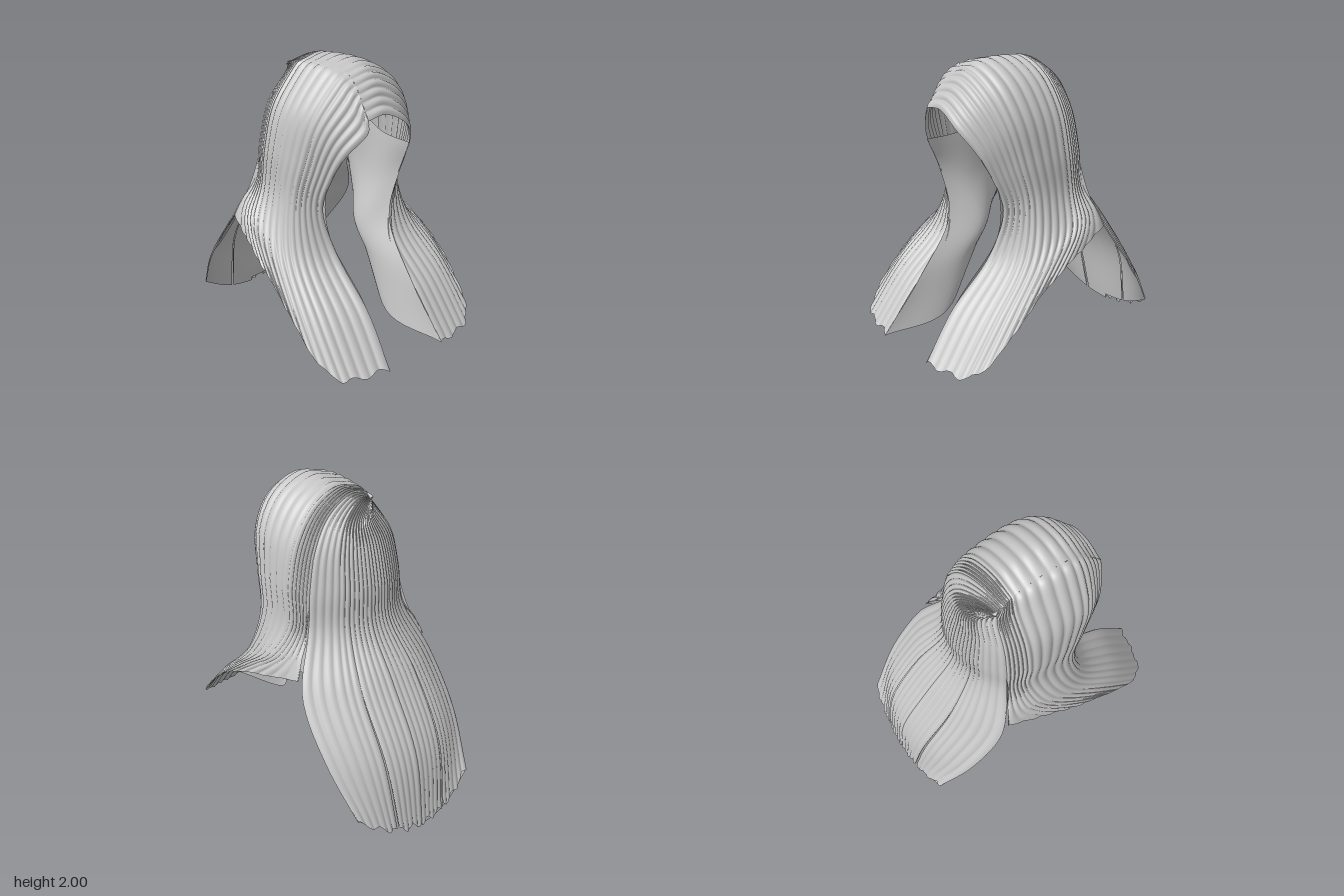
import * as THREE from 'three';

// Four guide strands of the front lock, face edge to ear; each starts on the parting
const FACE_EDGE = [[-.14, 1.74, .58], [.15, 1.67, .59], [.25, 1.53, .52], [.285, 1.37, .44], [.285, 1.15, .36], [.21, .85, .42], [.2, .58, .7], [.22, .3, .92]];
const TEMPLE = [[-.12, 1.95, .38], [.22, 1.88, .37], [.34, 1.7, .34], [.385, 1.45, .28], [.41, 1.2, .23], [.47, .9, .31], [.53, .62, .58], [.55, .33, .82]];
const SIDE = [[-.13, 1.96, -.02], [.2, 1.89, -.04], [.33, 1.7, -.05], [.39, 1.45, -.06], [.41, 1.2, -.08], [.51, 1.02, -.02], [.58, .91, .12], [.63, .77, .31]];
const EAR = [[-.15, 1.94, -.1], [.17, 1.86, -.15], [.28, 1.7, -.18], [.34, 1.45, -.2], [.37, 1.2, -.22], [.45, 1.07, -.26], [.48, 1, -.28], [.5, .95, -.29]];
const FRONT = [FACE_EDGE, TEMPLE, SIDE, EAR];

// The back hair leaves the ear strand below the neck; its middle is a height and depth profile
const BACK_EDGE = [...EAR.slice(0, 5), [.51, .87, -.35], [.52, .53, -.6], [.44, .19, -.84]];
const BACK_MIDDLE = [[1.91, -.15], [1.83, -.27], [1.7, -.31], [1.45, -.36], [1.2, -.38], [.9, -.58], [.5, -.82], [.005, -.91]];
// Rounded cross-section: depth and height follow the square of the distance from the middle
const BACK = [1, .6, .3, 0].map((t) => BACK_EDGE.map(([x, y, z], i) => {
  const [my, mz] = BACK_MIDDLE[i], mx = i ? 0 : -.16;
  return [mx + (x - mx) * t, my + (y - my) * t * t, mz + (z - mz) * t * t];
}));

// Inward fold behind the face edge
const FOLD = [[.27, 1.5, .25], [.24, 1.2, .2], [.14, .9, .18], [.15, .68, .3], [.13, .36, .5]];

// Mirror a guide (the parting root stays put) and arch it over the crown
function strandCurve(points, side) {
  const pts = points.map(([x, y, z], i) => new THREE.Vector3(i ? x * side : x, y, z));
  const crown = pts[0].clone().lerp(pts[1], 0.45);
  crown.y += 0.16 * Math.abs(pts[1].x - pts[0].x);
  pts.splice(1, 0, crown);
  return new THREE.CatmullRomCurve3(pts);
}

// Lining guides: lower face edge, fold, a strand halfway, lower ear edge
function liningCurves(front, side) {
  const lower = (curve) => FOLD.map((p, i) => curve.getPoint(0.4 + 0.15 * i));
  const fold = FOLD.map(([x, y, z]) => new THREE.Vector3(x * side, y, z));
  const outer = lower(front[3]);
  const half = fold.map((p, i) => p.clone().lerp(outer[i], 0.5));
  half[4].y += 0.1;
  return [lower(front[0]), fold, half, outer].map((pts) => new THREE.CatmullRomCurve3(pts));
}

// Sheet of hair across a set of guide curves, ridged into strands or inset as a smooth layer
function sheet(curves, side, { u0 = 0, u1 = 1, strands = 0, depth = 0, inset = 0, gap0 = 0, gap1 = 0, rows = 56 }) {
  const cols = strands ? strands * 8 : 24;
  const across = Array.from({ length: 201 }, (_, i) =>
    new THREE.CatmullRomCurve3(curves.map((c) => c.getPoint(i / 200))));
  const at = (u, v) => {
    const f = THREE.MathUtils.clamp(v, 0, 1) * 200, i = Math.min(199, Math.floor(f));
    const uu = THREE.MathUtils.clamp(u, 0, 1);
    return across[i].getPoint(uu).lerp(across[i + 1].getPoint(uu), f - i);
  };
  const pos = [], index = [];
  for (let r = 0; r <= rows; r++) {
    for (let c = 0; c <= cols; c++) {
      const t = c / cols;
      // gently uneven tips
      const v = (r / rows) * (1 - 0.005 * (1 + Math.sin(t * strands * 2.4 + side)));
      // slits open toward the tips
      const open = Math.max(0, (v - 0.72) / 0.28);
      const u = THREE.MathUtils.lerp(u0 + gap0 * open, u1 - gap1 * open, t);
      const p = at(u, v);
      if (depth || inset) {
        const e = 0.004;
        const du = at(u + e, v).sub(at(u - e, v)), dv = at(u, v + e).sub(at(u, v - e));
        const n = dv.cross(du).normalize().multiplyScalar(side);
        const ridge = Math.abs(Math.sin(Math.PI * t * strands)) - 0.6;
        const fade = Math.min(1, 0.4 + v * 6) * (1 - 0.4 * v);
        p.addScaledVector(n, depth * ridge * fade - inset);
      }
      pos.push(p.x, p.y, p.z);
    }
  }
  const w = cols + 1;
  for (let r = 0; r < rows; r++) {
    for (let c = 0; c < cols; c++) {
      const a = r * w + c, b = a + 1, d = a + w, e = d + 1;
      if (side > 0) index.push(a, d, b, b, d, e);
      else index.push(a, b, d, b, e, d);
    }
  }
  const g = new THREE.BufferGeometry();
  g.setAttribute('position', new THREE.Float32BufferAttribute(pos, 3));
  g.setIndex(index);
  g.computeVertexNormals();
  return g;
}

export function createModel() {
  const hair = new THREE.MeshStandardMaterial({ color: 0xc4c4c4, side: THREE.DoubleSide });
  hair.name = 'hairGrey';
  const model = new THREE.Group();
  model.name = 'longHair';
  const add = (name, geometry) => {
    const m = new THREE.Mesh(geometry, hair);
    m.name = name;
    model.add(m);
  };

  for (const side of [1, -1]) {
    const label = side > 0 ? 'left' : 'right';
    const front = FRONT.map((g) => strandCurve(g, side));
    const back = BACK.map((g) => strandCurve(g, side));
    // front lock sweeping over the shoulder
    add(label + 'FrontLock', sheet(front, side, { strands: 17, depth: 0.015 }));
    // back hair, split by a slit near the tips
    add(label + 'BackSideLock', sheet(back, side, { u1: 0.54, strands: 6, depth: 0.012, gap1: 0.02 }));
    add(label + 'BackMiddleLock', sheet(back, side, { u0: 0.54, strands: 5, depth: 0.012, gap0: 0.02 }));
    // smooth inner layers of the back hair, following the same split
    add(label + 'BackSideLining', sheet(back, side, { u1: 0.54, inset: 0.012, gap1: 0.02 }));
    add(label + 'BackMiddleLining', sheet(back, side, { u0: 0.54, inset: 0.012, gap0: 0.02 }));
    // smooth underside of the front lock
    add(label + 'FrontLining', sheet(liningCurves(front, side), side, { rows: 30 }));
  }
  return model;
}
